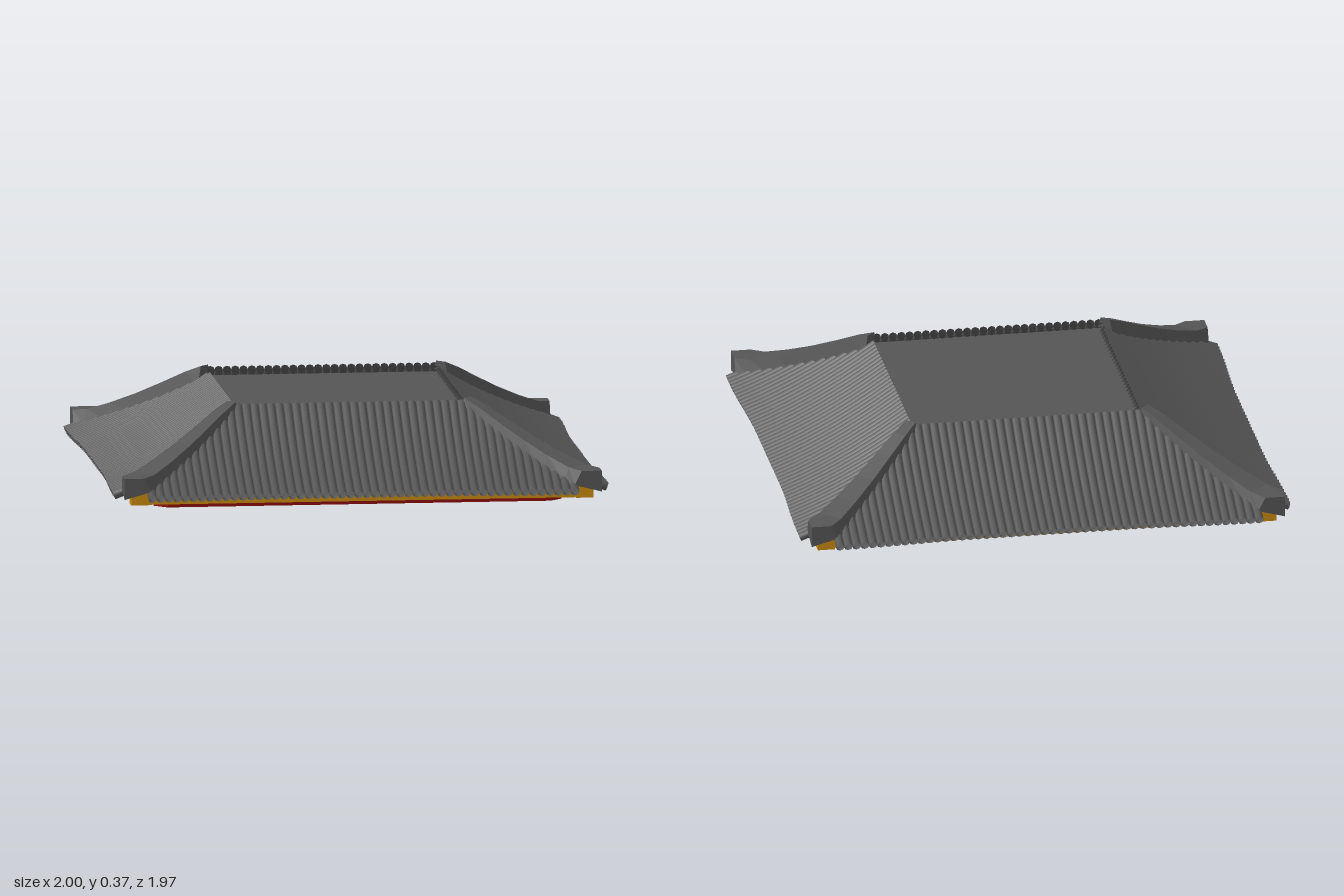
import * as THREE from 'three';
import { mergeGeometries } from 'three/addons/utils/BufferGeometryUtils.js';

const material = (color, flatShading = true) =>
  new THREE.MeshStandardMaterial({ color, flatShading, side: THREE.DoubleSide });
const slate = material(0x555555);
const tileGrey = material(0x555555, false);
const gold = material(0xc98a10);
const red = material(0x8c0c0c);

function add(parent, name, geometry, mat) {
  const mesh = new THREE.Mesh(geometry, mat);
  mesh.name = name;
  parent.add(mesh);
  return mesh;
}

// Grid surface from rows of [x, y, z] points
function skin(rows) {
  const n = rows[0].length, index = [];
  for (let i = 0; i < rows.length - 1; i++)
    for (let j = 0; j < n - 1; j++) {
      const a = i * n + j, b = a + n;
      index.push(a, b, a + 1, a + 1, b, b + 1);
    }
  const g = new THREE.BufferGeometry();
  g.setAttribute('position', new THREE.Float32BufferAttribute(rows.flat(2), 3));
  g.setIndex(index);
  g.computeVertexNormals();
  return g;
}

// One roof slope facing +z: concave fall, eave flaring towards the corners
function slopePoint(side, s, t) {
  const flare = THREE.MathUtils.smoothstep(Math.abs(s), 0.3, 0.82);
  const z = THREE.MathUtils.lerp(side.rim, side.eave + side.flare * flare, t);
  const y = side.top - (side.top - 0.06) * (1.3 * t - 0.3 * t * t);
  return new THREE.Vector3(s, y, z);
}

function makeSlope(side) {
  const slope = new THREE.Group();
  slope.name = side.name;

  // Rows of round tiles, cut short by the hips
  const count = 52, half = 0.85, tubes = [];
  for (let i = 0; i < count; i++) {
    const s = -half + (2 * half * i) / (count - 1);
    const start = Math.max(0, (Math.abs(s) - side.rim + 0.01) / (side.eave - side.rim));
    const path = [];
    for (let k = 0; k <= 5; k++) path.push(slopePoint(side, s, THREE.MathUtils.lerp(start, 1, k / 5)));
    tubes.push(new THREE.TubeGeometry(new THREE.CatmullRomCurve3(path), 7, 0.0175, 8));
  }
  add(slope, 'tileRows', mergeGeometries(tubes), tileGrey);

  // Sheet beneath the tiles
  const rows = [];
  for (let i = 0; i <= 10; i++) {
    const t = i / 10, row = [];
    const w = Math.min(0.865, THREE.MathUtils.lerp(side.rim, side.eave, t));
    for (let j = 0; j <= 24; j++) row.push(slopePoint(side, w * (j / 12 - 1), t).toArray());
    rows.push(row);
  }
  add(slope, 'roofSheet', skin(rows), tileGrey);
  slope.rotation.y = side.angle;
  return slope;
}

// Hip ridge along the +x +z diagonal, ending in a square corner
function ridgeGeometry() {
  // distance along each axis, top y, bottom y, top half width
  const stations = [
    [0.475, 0.372, 0.30, 0.016],
    [0.53, 0.342, 0.26, 0.02],
    [0.61, 0.290, 0.21, 0.024],
    [0.70, 0.234, 0.155, 0.029],
    [0.79, 0.185, 0.115, 0.034],
    [0.87, 0.148, 0.088, 0.038],
    [0.92, 0.140, 0.085, 0.04],
  ];
  const rows = stations.map(([a, top, bottom, w], i) => {
    const last = i === stations.length - 1;
    const c = last ? 0.96 : a, b = w + 0.014;
    const low = last ? 0.055 : bottom;
    const e = last ? 0.96 - b : a; // keeps the end faces square
    return [
      [a - w, top, a + w], [c, top, c], [a + w, top, a - w],
      [e + b, bottom, e - b], [c, low, c], [e - b, bottom, e + b],
      [a - w, top, a + w],
    ];
  });
  // Close both ends
  const cap = (r) => skin([[r[0], r[1], r[2]], [r[5], r[4], r[3]]]);
  return mergeGeometries([skin(rows), cap(rows[0]), cap(rows[rows.length - 1])]);
}

// Horizontal plate with chamfered corners
function plate(hx, hz, chamfer, y0, y1) {
  const s = new THREE.Shape([
    [hx - chamfer, hz], [-hx + chamfer, hz], [-hx, hz - chamfer], [-hx, -hz + chamfer],
    [-hx + chamfer, -hz], [hx - chamfer, -hz], [hx, -hz + chamfer], [hx, hz - chamfer],
  ].map(([x, y]) => new THREE.Vector2(x, y)));
  return new THREE.ExtrudeGeometry(s, { depth: y1 - y0, bevelEnabled: false })
    .rotateX(-Math.PI / 2).translate(0, y0, 0);
}

export function createModel() {
  const model = new THREE.Group();
  model.name = 'tiledRoof';

  // Soffit and eave trim
  add(model, 'soffit', plate(0.82, 0.81, 0.05, 0, 0.03), red);
  add(model, 'eaveTrim', plate(0.915, 0.905, 0.03, 0.027, 0.05), gold);

  // Tiled slopes
  const sides = [
    { name: 'frontSlope', angle: 0, rim: 0.475, eave: 0.95, flare: 0.025, top: 0.352 },
    { name: 'leftSlope', angle: Math.PI / 2, rim: 0.46, eave: 0.975, flare: 0.017, top: 0.338 },
    { name: 'backSlope', angle: Math.PI, rim: 0.475, eave: 0.965, flare: 0.02, top: 0.352 },
    { name: 'rightSlope', angle: -Math.PI / 2, rim: 0.45, eave: 0.975, flare: 0.017, top: 0.338 },
  ];
  for (const side of sides) model.add(makeSlope(side));

  // Flat deck set just below the rim
  add(model, 'topDeck', new THREE.BoxGeometry(0.93, 0.02, 0.96).translate(0, 0.32, 0), slate);

  // Hip ridges and the corner brackets under them
  const corners = new THREE.Group();
  corners.name = 'corners';
  corners.scale.z = 0.99;
  const ridge = ridgeGeometry();
  const bracket = new THREE.BoxGeometry(0.07, 0.055, 0.07).translate(0.895, 0.0545, 0.895);
  for (let k = 0; k < 4; k++) {
    add(corners, 'hipRidge', ridge, slate).rotation.y = (k * Math.PI) / 2;
    add(corners, 'cornerBracket', bracket, gold).rotation.y = (k * Math.PI) / 2;
  }
  model.add(corners);
  return model;
}
